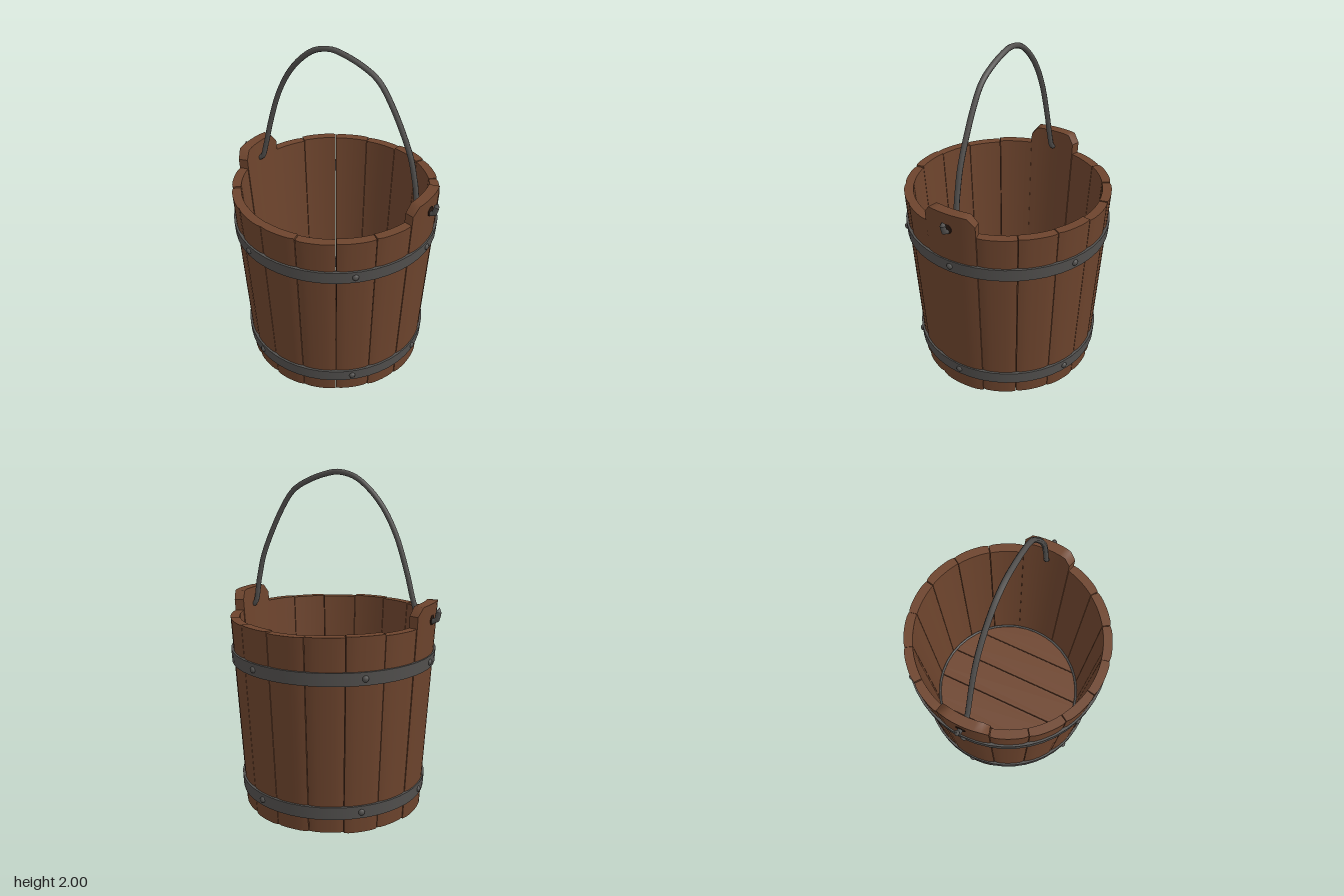
import * as THREE from 'three';

const wood = new THREE.MeshStandardMaterial({ color: 0x6d442d });
wood.name = 'brown wood';
const iron = new THREE.MeshStandardMaterial({ color: 0x52504e });
iron.name = 'dark iron';
const shade = new THREE.MeshStandardMaterial({ color: 0x2a1a12 });
shade.name = 'dark hole';

const RIM = 1.165;
const outerR = y => 0.543 + 0.057 * y; // bucket flare
const innerR = y => 0.488 + 0.058 * y;
const rad = THREE.MathUtils.degToRad;

function add(parent, name, geometry, material) {
  const mesh = new THREE.Mesh(geometry, material);
  mesh.name = name;
  parent.add(mesh);
  return mesh;
}

// One stave: a box bent round the axis; topAt(u) gives the height across its width (u from -1 to 1)
function staveGeometry(mid, width, y0, topAt, extra = 0) {
  const g = new THREE.BoxGeometry(2, 1, 1, 8, 4, 1);
  const p = g.attributes.position;
  for (let i = 0; i < p.count; i++) {
    const u = p.getX(i), out = p.getZ(i) > 0;
    const y = y0 + (p.getY(i) + 0.5) * (topAt(u) - y0);
    const a = mid + u * width / 2;
    const crown = 0.006 * Math.pow(Math.abs(u), 6);
    const r = out ? outerR(y) + extra - crown : innerR(y) - extra;
    p.setXYZ(i, Math.sin(a) * r, y, Math.cos(a) * r);
  }
  g.computeVertexNormals();
  return g;
}

// Closed iron band following the flare
function hoopGeometry(y0, y1) {
  const pts = [
    [outerR(y0) - 0.008, y0], [outerR(y0) + 0.013, y0],
    [outerR(y1) + 0.013, y1], [outerR(y1) - 0.008, y1], [outerR(y0) - 0.008, y0],
  ];
  // Doubled corners keep the band edges sharp
  const profile = [];
  for (let i = 0; i < 4; i++) {
    const a = new THREE.Vector2(...pts[i]), b = new THREE.Vector2(...pts[i + 1]);
    profile.push(a, a.clone().lerp(b, 0.02), a.clone().lerp(b, 0.98));
  }
  profile.push(new THREE.Vector2(...pts[4]));
  return new THREE.LatheGeometry(profile, 48);
}

// Floor plank: a strip cut from a disc
function plankGeometry(x0, x1, R) {
  const n = 8, z = x => Math.sqrt(Math.max(0, R * R - x * x));
  const pts = [];
  for (let i = 0; i <= n; i++) { const x = x0 + (x1 - x0) * i / n; pts.push(new THREE.Vector2(x, -z(x))); }
  for (let i = n; i >= 0; i--) { const x = x0 + (x1 - x0) * i / n; pts.push(new THREE.Vector2(x, z(x) + 1e-4)); }
  const g = new THREE.ExtrudeGeometry(new THREE.Shape(pts), { depth: 0.05, bevelEnabled: false });
  return g.rotateX(Math.PI / 2).translate(0, 0.095, 0);
}

export function createModel() {
  const bucket = new THREE.Group();
  bucket.name = 'bucket';

  // Staves: seven on the front, seven on the back, between the two lugs
  const staves = new THREE.Group();
  staves.name = 'staves';
  bucket.add(staves);
  const lugWidth = rad(31), step = (Math.PI - lugWidth) / 7;
  for (const base of [0, Math.PI]) {
    for (let i = -3; i <= 3; i++) {
      const k = i + 3 + (base ? 7 : 0);
      const top = RIM - 0.004 * ((k * 5) % 3), y0 = 0.004 + 0.004 * ((k * 7) % 3);
      add(staves, 'stave', staveGeometry(base + i * step, step - 0.006, y0, () => top), wood);
    }
  }

  // Tall side staves with clipped corners, and the holes for the handle
  for (const s of [1, -1]) {
    const lugTop = u => 1.275 - Math.max(0, Math.abs(u) - 0.74) * 0.2;
    add(staves, 'lugStave', staveGeometry(s * Math.PI / 2, lugWidth, 0, lugTop, 0.004), wood);
    const hole = add(bucket, 'handleHole', new THREE.CylinderGeometry(0.03, 0.03, 0.006, 16), shade);
    hole.rotation.z = Math.PI / 2;
    hole.position.set(s * (outerR(1.18) + 0.004), 1.18, 0);
  }

  // Floor planks with narrow gaps, held by a thin inner ring
  const floor = new THREE.Group();
  floor.name = 'floor';
  bucket.add(floor);
  const cuts = [-0.495, -0.31, -0.1, 0.11, 0.31, 0.495];
  for (let i = 0; i < 5; i++) {
    add(floor, 'floorPlank', plankGeometry(cuts[i] + 0.0025, cuts[i + 1] - 0.0025, 0.497), wood);
  }
  const ring = add(floor, 'floorRing', new THREE.TorusGeometry(0.487, 0.008, 6, 40), iron);
  ring.rotation.x = Math.PI / 2;
  ring.position.y = 0.1;

  // Hoops and their rivets
  for (const [name, y0, y1] of [['lowerHoop', 0.1, 0.175], ['upperHoop', 0.895, 0.97]]) {
    add(bucket, name, hoopGeometry(y0, y1), iron);
    const y = (y0 + y1) / 2;
    for (const deg of [42, 90, 159, 222, 270, 338]) {
      const a = rad(deg), r = outerR(y) + 0.012;
      const rivet = add(bucket, 'rivet', new THREE.SphereGeometry(0.019, 10, 6), iron);
      rivet.scale.z = 0.75;
      rivet.position.set(Math.sin(a) * r, y, Math.cos(a) * r);
      rivet.rotation.y = a;
    }
  }

  // Bent wire handle, hooked through both lugs
  const path = [
    [-0.652, 1.23], [-0.64, 1.18], [-0.6, 1.172], [-0.54, 1.175], [-0.5, 1.28], [-0.46, 1.43],
    [-0.39, 1.64], [-0.31, 1.79], [-0.22, 1.895], [-0.13, 1.96], [-0.03, 1.984],
    [0.05, 1.972], [0.17, 1.93], [0.26, 1.875], [0.34, 1.765], [0.47, 1.49],
    [0.51, 1.33], [0.545, 1.175], [0.6, 1.165], [0.635, 1.17], [0.65, 1.22],
  ].map(([x, y]) => new THREE.Vector3(x, y, 0));
  const curve = new THREE.CatmullRomCurve3(path, false, 'centripetal');
  add(bucket, 'handle', new THREE.TubeGeometry(curve, 100, 0.016, 8), iron);
  for (const [end, s] of [[path[0], -1], [path[path.length - 1], 1]]) {
    const tip = add(bucket, 'hookTip', new THREE.ConeGeometry(0.016, 0.025, 8), iron);
    tip.position.set(end.x + s * 0.002, end.y + 0.012, 0);
    tip.rotation.z = -s * 0.22;
  }
  return bucket;
}
